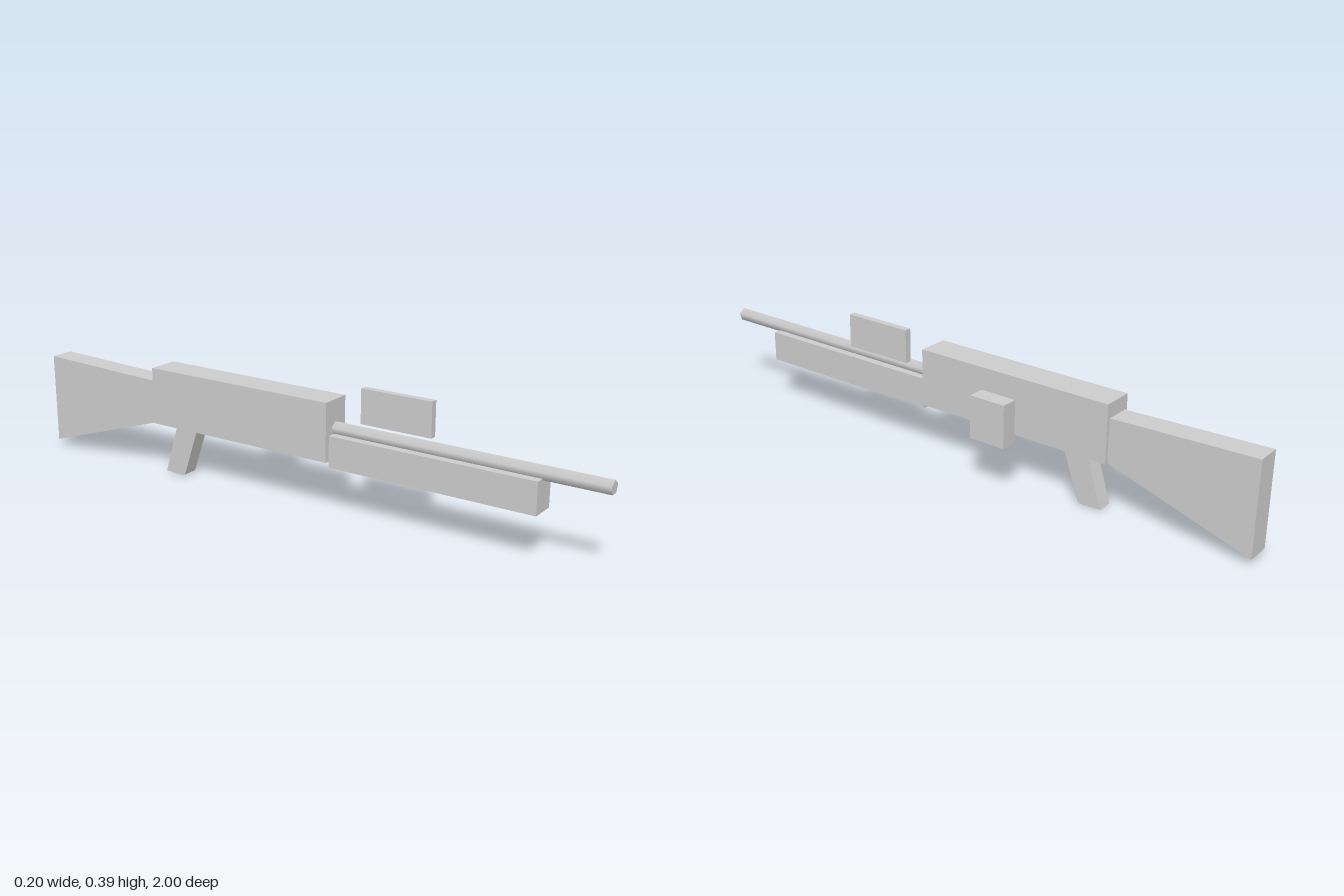
import * as THREE from 'three';

export function createModel() {
  const model = new THREE.Group();
  const grey = new THREE.MeshStandardMaterial({ color: 0xcccccc });
  grey.name = 'light grey';

  const add = (name, geometry) => {
    const mesh = new THREE.Mesh(geometry, grey);
    mesh.name = name;
    model.add(mesh);
    return mesh;
  };

  // Box between two limits on each axis
  const block = (name, [x0, x1], [y0, y1], [z0, z1]) =>
    add(name, new THREE.BoxGeometry(x1 - x0, y1 - y0, z1 - z0))
      .position.set((x0 + x1) / 2, (y0 + y1) / 2, (z0 + z1) / 2);

  // Side profile of [z, y] points, extruded across x
  const slab = (name, [x0, x1], profile) => {
    const shape = new THREE.Shape(profile.map(([z, y]) => new THREE.Vector2(-z, y)));
    const geometry = new THREE.ExtrudeGeometry(shape, { depth: x1 - x0, bevelEnabled: false });
    add(name, geometry.rotateY(Math.PI / 2).translate(x0, 0, 0));
  };

  block('receiver', [-0.102, 0], [0.167, 0.352], [-0.54, 0.133]);
  block('forend', [-0.092, -0.011], [0.15, 0.249], [0.137, 0.805]);
  block('sight', [-0.034, -0.012], [0.284, 0.393], [0.21, 0.447]);
  block('sideBlock', [0.046, 0.1], [0.167, 0.304], [-0.256, -0.134]);

  // Five-sided barrel with one edge on top
  const barrelLength = 0.867;
  add('barrel', new THREE.CylinderGeometry(0.0215, 0.0215, barrelLength, 5)
    .rotateY(Math.PI).rotateX(Math.PI / 2))
    .position.set(-0.051, 0.262, 1 - barrelLength / 2);

  // Stock flares downward to the rear
  slab('stock', [-0.091, -0.012],
    [[-0.54, 0.167], [-1, 0.022], [-1, 0.32], [-0.54, 0.306]]);

  // Raked grip below the receiver
  slab('grip', [-0.077, -0.026],
    [[-0.38, 0.168], [-0.437, 0.006], [-0.445, 0], [-0.515, 0.002], [-0.463, 0.168]]);

  // Turn the barrel's top edge upright
  const barrel = model.getObjectByName('barrel');
  barrel.geometry.computeBoundingBox();
  const { min, max } = barrel.geometry.boundingBox;
  if (max.y < -min.y) barrel.rotation.z = Math.PI;

  return model;
}
